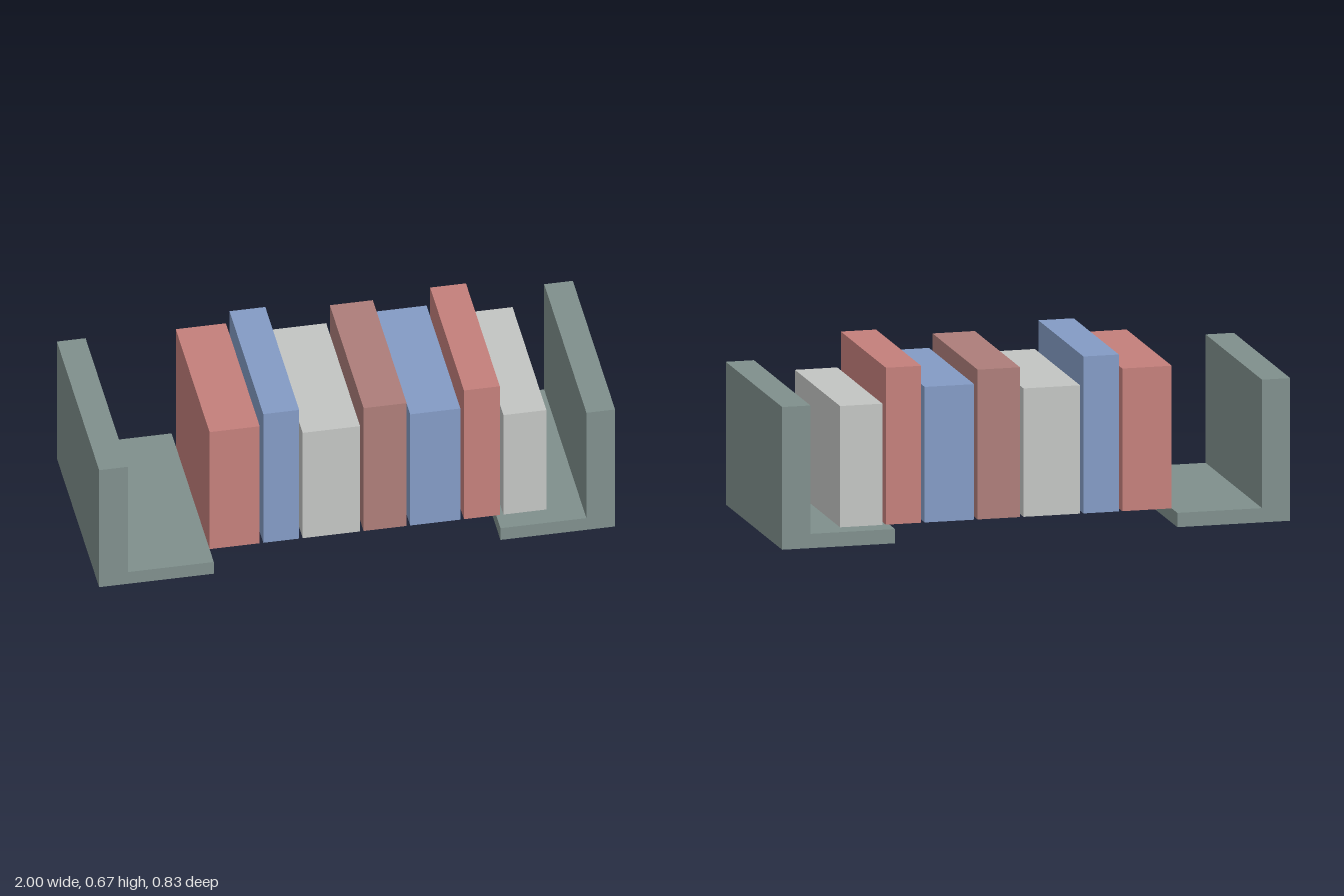
import * as THREE from 'three';

const material = (name, color) => {
  const m = new THREE.MeshStandardMaterial({ color });
  m.name = name;
  return m;
};

export function createModel() {
  const model = new THREE.Group();
  model.name = 'booksBetweenBookends';

  const bookendGrey = material('bookend grey', 0x80908d);
  const red = material('red', 0xc5807c);
  const blue = material('blue', 0x849cc6);
  const paleGrey = material('pale grey', 0xc4c6c4);
  const brown = material('brown', 0xae7e7a);

  // L-shaped bookends, one extruded section per side
  const depth = 0.833, base = 0.0556;
  for (const side of [1, -1]) {
    const points = [[1, 0], [1, 0.5556], [0.8889, 0.5556], [0.8889, base], [0.5556, base], [0.5556, 0]];
    const shape = new THREE.Shape(points.map(([x, y]) => new THREE.Vector2(side * x, y)));
    const geometry = new THREE.ExtrudeGeometry(shape, { depth, bevelEnabled: false });
    geometry.translate(0, 0, -depth / 2);
    const bookend = new THREE.Mesh(geometry, bookendGrey);
    bookend.name = side > 0 ? 'leftBookend' : 'rightBookend';
    model.add(bookend);
  }

  // Row of books: width, height, colour
  const books = [
    [0.1944, 0.5556, red],
    [0.1389, 0.6111, blue],
    [0.2222, 0.5, paleGrey],
    [0.1667, 0.5833, brown],
    [0.1944, 0.5278, blue],
    [0.1389, 0.6111, red],
    [0.1667, 0.4722, paleGrey],
  ];
  const gap = 0.0139;
  let x = -0.5556;
  books.forEach(([width, height, colour], i) => {
    const book = new THREE.Mesh(new THREE.BoxGeometry(width, height, 0.6667), colour);
    book.position.set(x + width / 2, base + height / 2, 0);
    book.name = `book${i + 1}`;
    model.add(book);
    x += width + gap;
  });

  return model;
}
